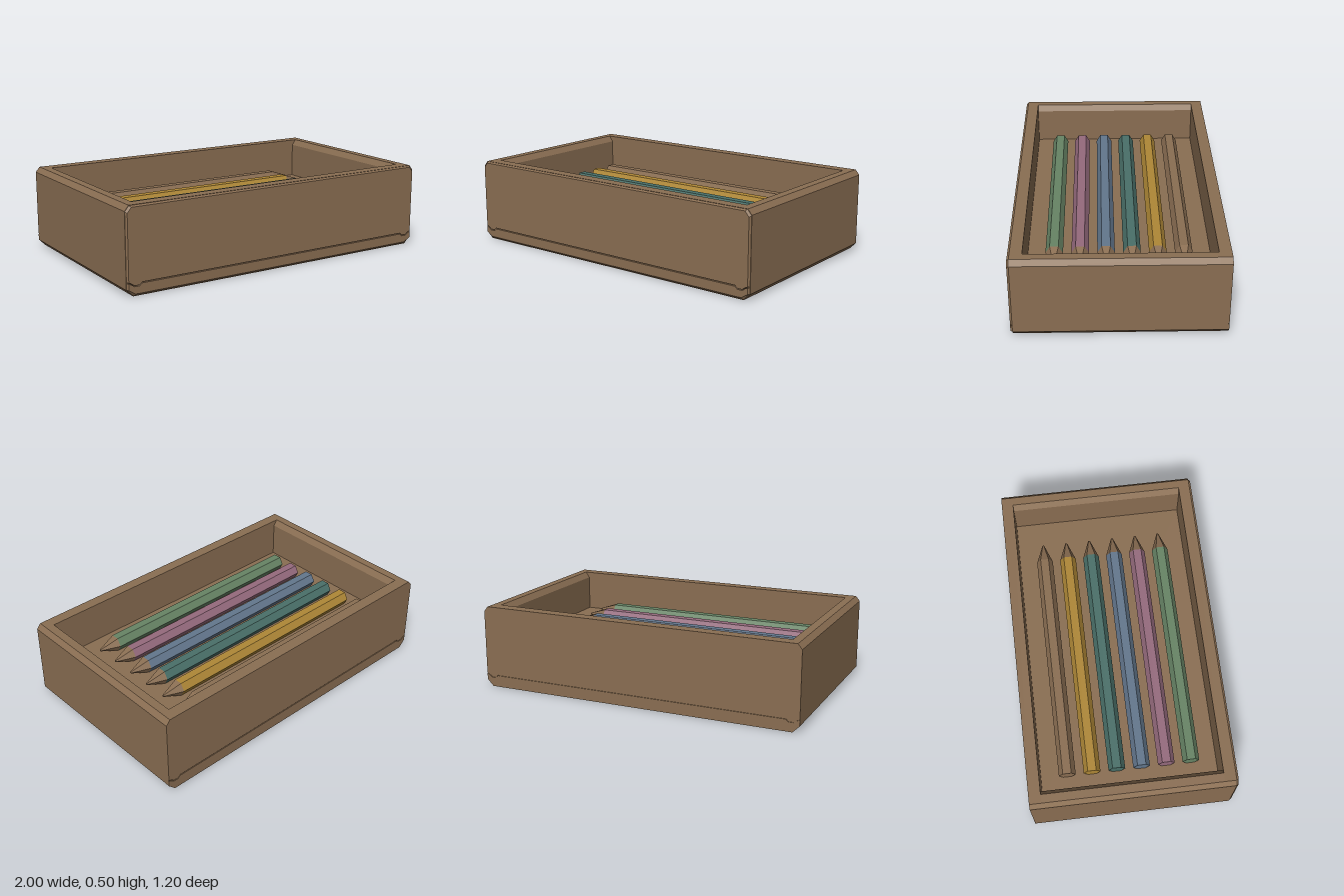
import * as THREE from 'three';

const material = (name, color) => {
  const m = new THREE.MeshStandardMaterial({ color });
  m.name = name;
  m.flatShading = true;
  return m;
};

// Closes a half profile (right side, x > 0) by mirroring it across x = 0
const mirrored = (half) => [...half, ...half.map(([x, y]) => [-x, y]).reverse()];

// Extrudes an outline in x/y between two depths
function slab(outline, z0, z1) {
  const shape = new THREE.Shape(outline.map(([x, y]) => new THREE.Vector2(x, y)));
  const g = new THREE.ExtrudeGeometry(shape, { depth: z1 - z0, bevelEnabled: false });
  return g.translate(0, 0, z0);
}

// Pulls the outer edge of the front face inward to form a narrow bevel
function bevelFront(g, zFront) {
  const p = g.attributes.position;
  for (let i = 0; i < p.count; i++) {
    if (p.getZ(i) < zFront - 0.001) continue;
    const y = p.getY(i);
    p.setX(i, p.getX(i) * 0.99);
    if (y > 0.46) p.setY(i, y - 0.01);
    if (y < 0.01) p.setY(i, y + 0.015);
  }
  g.computeVertexNormals();
  return g;
}

export function createModel() {
  const model = new THREE.Group();
  model.name = 'pencilBox';
  const wood = material('wood', 0x8a6e52);
  const add = (name, geometry, mat, parent = model) => {
    const mesh = new THREE.Mesh(geometry, mat);
    mesh.name = name;
    parent.add(mesh);
    return mesh;
  };

  // Tray: raised floor and end walls with chamfered rims
  const floorY = 0.25;
  const tray = mirrored([
    [0.96, 0], [1, 0.04], [1, 0.47], [0.975, 0.5],
    [0.925, 0.5], [0.9, 0.465], [0.9, floorY],
  ]);
  add('tray', slab(tray, -0.53, 0.52), wood);

  // Front and back walls
  const wall = mirrored([[0.96, 0], [1, 0.04], [1, 0.47], [0.975, 0.5]]);
  add('frontWall', slab(wall, 0.52, 0.588), wood);
  add('backWall', slab(wall, -0.595, -0.53), wood);

  // Facing panels and base strips, parted by a fine notched groove
  const seam = [[0.92, 0.076], [0.935, 0.062], [0.965, 0.062], [0.985, 0.076], [1, 0.082]];
  const panel = mirrored([...seam, [1, 0.47], [0.975, 0.5]]);
  const lowerSeam = seam.map(([x, y]) => [x, y - 0.006]).reverse();
  const strip = mirrored([[0.96, 0], [1, 0.04], ...lowerSeam]);
  add('frontPanel', bevelFront(slab(panel, 0.585, 0.6), 0.6), wood);
  add('frontBaseStrip', bevelFront(slab(strip, 0.585, 0.6), 0.6), wood);
  add('backPanel', slab(panel, -0.6, -0.594), wood);
  add('backBaseStrip', slab(strip, -0.6, -0.594), wood);

  // Row of hexagonal pencils lying on the floor
  const paints = [
    wood,
    material('ochre', 0xae8736),
    material('teal', 0x4a7069),
    material('slateBlue', 0x63778d),
    material('mauve', 0x956a7d),
    material('green', 0x678465),
  ];
  const r = 0.05;
  const body = new THREE.CylinderGeometry(r, r, 1.39, 6).rotateZ(-Math.PI / 2).translate(-0.09, 0, 0);
  const tip = new THREE.CylinderGeometry(0.006, r, 0.115, 6).rotateZ(-Math.PI / 2).translate(0.6625, 0, 0);
  paints.forEach((paint, i) => {
    const pencil = new THREE.Group();
    pencil.name = 'pencil' + (i + 1);
    pencil.position.set(0, floorY + r * Math.cos(Math.PI / 6), -0.372 + i * 0.1475);
    add('pencilBody', body, paint, pencil);
    add('pencilTip', tip, wood, pencil);
    model.add(pencil);
  });

  return model;
}
